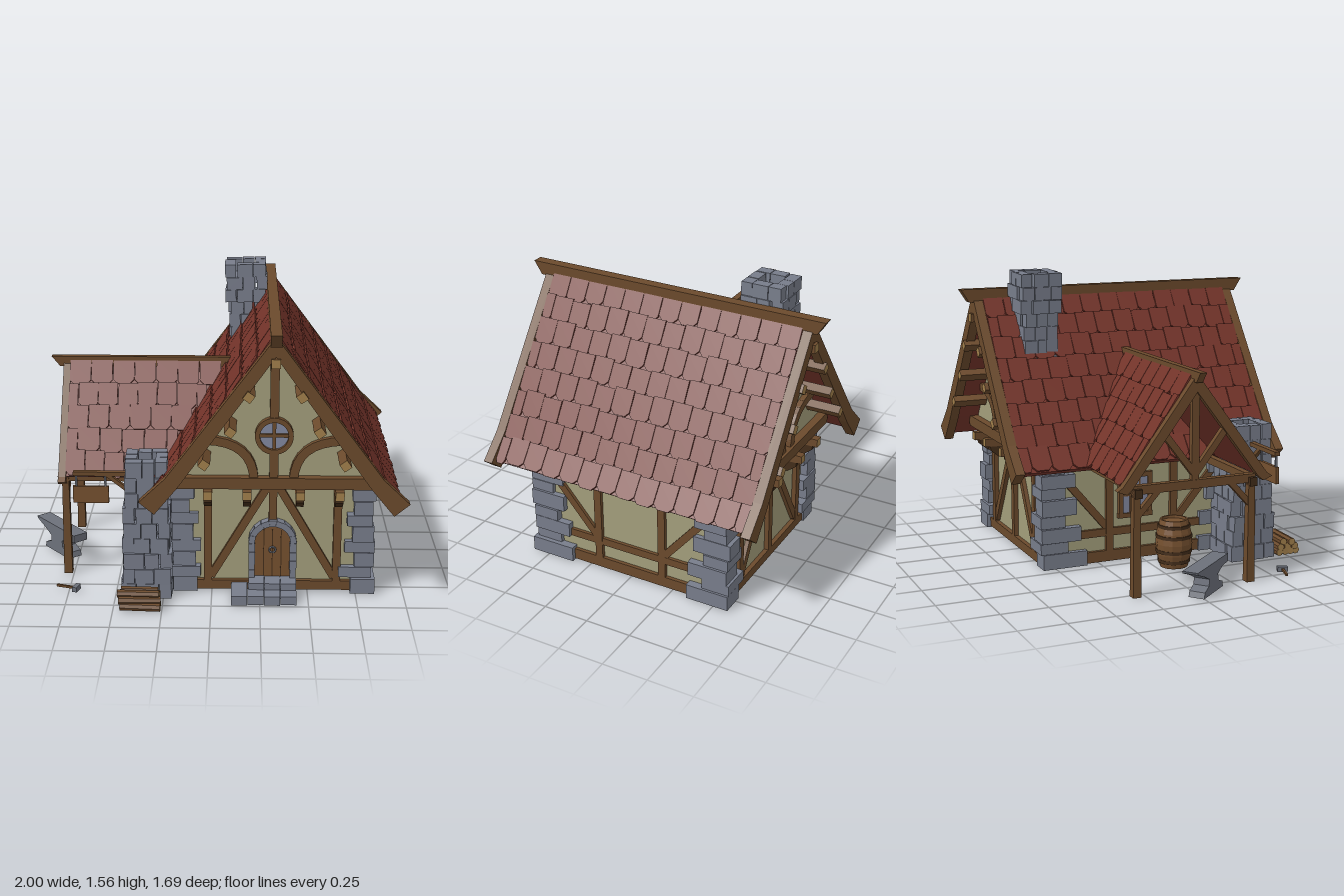
import * as THREE from 'three';
import { mergeGeometries } from 'three/addons/utils/BufferGeometryUtils.js';

const mat = (name, color, side = THREE.FrontSide) => {
  const m = new THREE.MeshStandardMaterial({ color, side });
  m.name = name;
  return m;
};
const M = {
  plaster: mat('plaster', 0xa39e7b), wood: mat('timber', 0x6b4a2c), dark: mat('dark timber', 0x432d1a),
  tan: mat('cut wood', 0xa17f4b), door: mat('door wood', 0x75502f), stone: mat('stone', 0x787d8b),
  roof: mat('roof tile', 0x74342a), iron: mat('iron', 0x6c707a), glass: mat('glass', 0x8288a0),
};
let seed = 7;
const rnd = (a, b) => { seed = (seed * 16807) % 2147483647; return a + (b - a) * seed / 2147483647; };
const flat = (g) => { const f = g.index ? g.toNonIndexed() : g; f.computeVertexNormals(); return f; };

function add(parent, name, geo, material, x = 0, y = 0, z = 0) {
  const m = new THREE.Mesh(geo, material);
  m.name = name;
  m.position.set(x, y, z);
  parent.add(m);
  return m;
}
const box = (p, name, material, w, h, d, x, y, z) => add(p, name, new THREE.BoxGeometry(w, h, d), material, x, y, z);
function group(parent, name, x = 0, y = 0, z = 0, ry = 0) {
  const g = new THREE.Group();
  g.name = name;
  g.position.set(x, y, z);
  g.rotation.y = ry;
  parent.add(g);
  return g;
}
// straight timber between two points of a wall plane
function beam(p, name, x1, y1, x2, y2, w = 0.042, d = 0.04, z = 0, material = M.wood) {
  const m = box(p, name, material, Math.hypot(x2 - x1, y2 - y1), w, d, (x1 + x2) / 2, (y1 + y2) / 2, z);
  m.rotation.z = Math.atan2(y2 - y1, x2 - x1);
  return m;
}
const poly = (pts) => new THREE.Shape(pts.map(([x, y]) => new THREE.Vector2(x, y)));
const extrude = (shape, depth, curveSegments = 8) =>
  new THREE.ExtrudeGeometry(shape, { depth, bevelEnabled: false, curveSegments }).translate(0, 0, -depth / 2);
// right half of an outline (from top centre to bottom centre) mirrored to a full one
const mirrored = (half) => poly([...half, ...half.slice().reverse().filter(([x]) => x > 0).map(([x, y]) => [-x, y])]);
const mirroredBand = (outer, inner) => poly([
  ...outer, ...inner.slice().reverse(), ...inner.slice(1).map(([x, y]) => [-x, y]),
  ...outer.slice(1).reverse().map(([x, y]) => [-x, y])]);
const cutEnd = [M.wood, M.wood, M.wood, M.wood, M.tan, M.tan];

// overlapping shingles down one slope: profile is [outward, y], span(y) gives the limits along z
function shingles(p, name, profile, rows, span, ry, x, z) {
  const curve = new THREE.CurvePath();
  const v = profile.map(([a, b]) => new THREE.Vector3(a, b, 0));
  for (let i = 1; i < v.length; i++) curve.add(new THREE.LineCurve3(v[i - 1], v[i]));
  const step = curve.getLength() / rows, width = 0.11, tiles = [];
  for (let r = 0; r < rows; r++) {
    const end = curve.getPointAt((r + 1) / rows), start = curve.getPointAt(r / rows);
    const up = start.clone().sub(end).normalize(), across = new THREE.Vector3(0, 0, -1);
    const normal = across.clone().cross(up);
    const [a, b] = span(end.y), n = Math.max(1, Math.round((b - a) / width)), w = (b - a) / n;
    for (let i = 0; i < n + (r % 2); i++) {
      const off = r % 2 ? i * w : (i + 0.5) * w;
      const lo = Math.max(-w / 2, -off), hi = Math.min(w / 2, b - a - off), L = step + 0.01, c = 0.024;
      const g = extrude(poly([[-hi + 0.0015, L], [-hi + 0.0015, c], [-hi + (hi - lo) * 0.22, 0],
        [-lo - (hi - lo) * 0.22, 0], [-lo - 0.0015, c], [-lo - 0.0015, L]].map(([q, s]) => [q, s])), 0.012);
      g.rotateX(0.06).rotateZ(rnd(-0.012, 0.012));
      const pos = end.clone().addScaledVector(normal, 0.012).addScaledVector(up, rnd(-0.012, 0.004));
      pos.z = a + off;
      g.applyMatrix4(new THREE.Matrix4().makeBasis(across, up, normal).setPosition(pos));
      tiles.push(g);
    }
  }
  add(p, name, mergeGeometries(tiles), M.roof, x, 0, z).rotation.y = ry;
}

// hollow stack of stones laid in a pinwheel
function stoneStack(p, name, x, z, y0, y1, layers, widthAt, t) {
  const g = group(p, name, x, 0, z), h = (y1 - y0) / layers;
  for (let i = 0; i < layers; i++) {
    const w = widthAt(i / (layers - 1)), ring = group(g, 'stoneRing', 0, y0 + h * (i + 0.5), 0, rnd(-0.04, 0.04));
    for (let k = 0; k < 4; k++) {
      const side = group(ring, 'stoneSide', 0, 0, 0, k * Math.PI / 2), j = rnd(0, 0.012), dir = i % 2 ? 1 : -1;
      const cut = rnd(0.4, 0.6) * (w - t), start = dir * w / 2;
      for (const [a, b] of [[0, cut], [cut, w - t]])
        box(side, 'stone', M.stone, b - a - 0.003, h * rnd(0.95, 1.04), t, start - dir * (a + b) / 2, 0, w / 2 - t / 2 + j);
    }
  }
  return g;
}

function gable(p, ry) {
  const g = group(p, 'gable', 0, 0, 0, ry), z = 0.61;
  box(g, 'tieBeam', M.wood, 1.04, 0.06, 0.07, 0, 0.63, z);
  beam(g, 'kingPost', 0, 0.97, 0, 1.34, 0.045, 0.04, z);
  beam(g, 'lowerPost', 0, 0.65, 0, 0.8, 0.045, 0.04, z);
  for (const s of [-1, 1]) {
    const pts = new THREE.QuadraticBezierCurve(new THREE.Vector2(0.1, 0.64), new THREE.Vector2(0.105, 0.85),
      new THREE.Vector2(0.35, 0.855)).getPoints(8);
    for (let i = 0; i < 8; i++)
      beam(g, 'curvedBrace', s * pts[i].x, pts[i].y, s * pts[i + 1].x, pts[i + 1].y, 0.045, 0.04, z).scale.x = 1.25;
    for (const [x, y] of [[0.13, 1.13], [0.22, 0.95], [0.35, 0.78]])
      box(g, 'purlin', cutEnd, 0.045, 0.045, 0.2, s * x, y, 0.69).rotation.z = -s * 0.95;
    for (const x of [0.135, 0.335]) {
      box(g, 'joist', cutEnd, 0.045, 0.045, 0.2, s * x, 0.575, 0.58);
      const corbel = extrude(poly([[0.5, 0.49], [0.6, 0.49], [0.65, 0.53], [0.65, 0.555], [0.5, 0.555]]), 0.04);
      add(g, 'corbel', corbel, M.dark, s * x).rotation.y = -Math.PI / 2;
    }
  }
  box(g, 'ridgePurlin', cutEnd, 0.045, 0.045, 0.2, 0, 1.3, 0.69);
  // round window
  add(g, 'roundGlass', new THREE.CircleGeometry(0.08, 20), M.glass, 0, 0.88, z + 0.005);
  const ring = new THREE.Shape().absarc(0, 0, 0.097, 0, Math.PI * 2);
  ring.holes.push(new THREE.Path().absarc(0, 0, 0.072, 0, Math.PI * 2));
  add(g, 'roundFrame', extrude(ring, 0.05, 20), M.wood, 0, 0.88, z);
  beam(g, 'muntin', 0, 0.8, 0, 0.96, 0.018, 0.03, z);
  beam(g, 'muntin', -0.08, 0.88, 0.08, 0.88, 0.018, 0.03, z);
  // barge boards
  add(g, 'bargeBoard', extrude(mirroredBand([[0, 1.43], [0.545, 0.7], [0.677, 0.575]],
    [[0, 1.33], [0.485, 0.65], [0.6, 0.51]]), 0.05), M.wood, 0, 0, 0.75);
}

function endWall(p, ry, hasDoor) {
  const g = group(p, 'endWall', 0, 0, 0.545, ry);
  if (ry) g.position.z = -0.545;
  box(g, 'sill', M.wood, 0.98, 0.05, 0.04, 0, 0.035, 0);
  beam(g, 'middlePost', 0, hasDoor ? 0.39 : 0.04, 0, 0.6);
  for (const s of [-1, 1]) {
    beam(g, 'post', s * 0.335, 0.03, s * 0.335, 0.6);
    beam(g, 'brace', s * 0.03, 0.58, s * 0.32, 0.08, 0.04, 0.035);
  }
  return g;
}
function sideWall(p, s) {
  const g = group(p, 'sideWall', s * 0.49, 0, 0, s * Math.PI / 2);
  box(g, 'sill', M.wood, 1.08, 0.06, 0.04, 0, 0.037, 0);
  box(g, 'rail', M.wood, 1.0, 0.042, 0.036, 0, 0.168, 0);
  for (const k of [-1, 1]) {
    beam(g, 'post', k * 0.19, 0.06, k * 0.19, 0.62);
    beam(g, 'brace', k * 0.2, 0.19, k * 0.47, 0.51, 0.04, 0.035);
  }
  return g;
}

export function createModel() {
  const model = new THREE.Group();
  model.name = 'smithy';
  const house = group(model, 'house', 0.315);

  // walls
  box(house, 'lowerWalls', M.plaster, 0.98, 0.6, 1.08, 0, 0.305, 0);
  add(house, 'gableWalls', extrude(mirrored([[0, 1.36], [0.49, 0.67], [0.49, 0.6]]), 1.2), M.plaster);
  const front = endWall(house, 0, true);
  endWall(house, Math.PI, false);
  sideWall(house, 1);
  const left = sideWall(house, -1);
  gable(house, 0);
  gable(house, Math.PI);

  // side window with lattice
  box(left, 'windowPane', M.glass, 0.16, 0.2, 0.03, -0.04, 0.36, 0);
  for (const k of [-1, 1]) {
    box(left, 'windowFrame', M.wood, 0.025, 0.24, 0.05, -0.04 + k * 0.085, 0.36, 0);
    box(left, 'windowFrame', M.wood, 0.2, 0.025, 0.05, -0.04, 0.36 + k * 0.11, 0);
    box(left, 'windowBar', M.wood, 0.01, 0.2, 0.036, -0.04 + k * 0.027, 0.36, 0);
  }
  box(left, 'windowBar', M.wood, 0.16, 0.01, 0.036, -0.04, 0.36, 0);

  // stone corners
  for (const sx of [-1, 1]) for (const sz of [-1, 1]) {
    const g = group(house, 'stoneCorner');
    for (let i = 0, y = 0; i < 8; i++) {
      const h = [0.085, 0.06, 0.08, 0.065, 0.09, 0.06, 0.075, 0.065][i], long = i % 2, k = 1 - i * 0.04;
      const w = (long ? 0.16 : 0.11) * k + rnd(0, 0.02), d = (long ? 0.15 : 0.23) * k + rnd(0, 0.02);
      const ox = 0.525 + rnd(-0.012, 0.012), oz = 0.58 + rnd(-0.012, 0.015);
      box(g, 'stone', M.stone, w, h - 0.003, d, sx * (ox - w / 2), y + h / 2, sz * (oz - d / 2));
      y += h;
    }
  }

  // arched door with stone surround
  const arch = new THREE.Shape().moveTo(-0.092, 0.08).lineTo(0.092, 0.08).lineTo(0.092, 0.28).absarc(0, 0.28, 0.092, 0, Math.PI);
  add(front, 'door', extrude(arch, 0.03), M.door);
  for (const x of [-0.045, 0, 0.045]) box(front, 'plankGap', M.dark, 0.005, 0.26, 0.034, x, 0.215, 0);
  add(front, 'doorRing', new THREE.TorusGeometry(0.016, 0.005, 5, 10), M.iron, 0, 0.235, 0.02);
  for (const s of [-1, 1]) for (let i = 0; i < 4; i++)
    box(front, 'jambStone', M.stone, 0.03 + rnd(0, 0.008), 0.047, 0.07, s * 0.107, 0.105 + i * 0.049, 0.005);
  for (let i = 0; i < 9; i++) {
    const a = (i + 0.5) * Math.PI / 9;
    box(front, 'archStone', M.stone, 0.032, 0.041, 0.07 + rnd(0, 0.01), Math.cos(a) * 0.108, 0.28 + Math.sin(a) * 0.108, 0.005)
      .rotation.z = a;
  }
  // doorstep
  for (let i = 0; i < 4; i++) {
    box(house, 'lowerStep', M.stone, 0.082, 0.045 + rnd(0, 0.006), 0.19 + rnd(-0.01, 0.01), -0.172 + i * 0.085, 0.023, 0.64);
    if (i < 3) box(house, 'upperStep', M.stone, 0.081, 0.04 + rnd(0, 0.004), 0.11, -0.083 + i * 0.083, 0.062, 0.6);
  }

  // main roof
  const outer = [[0, 1.4], [0.53, 0.675], [0.63, 0.565]];
  add(house, 'roofDeck', extrude(mirroredBand(outer, [[0, 1.35], [0.5, 0.66], [0.605, 0.545]]), 1.46), M.roof);
  for (const ry of [0, Math.PI]) shingles(house, 'roofTiles', outer, 8, () => [-0.725, 0.725], ry, 0, 0);
  // ridge: side outline with slanted ends
  const ridge = (half, y0, y1, w) => extrude(poly([[-half + 0.045, y0], [half - 0.045, y0], [half, y1], [-half, y1]]), w);
  add(house, 'ridgeBeam', ridge(0.845, 1.385, 1.455, 0.056), M.wood).rotation.y = Math.PI / 2;

  // roof chimney
  const chimney = stoneStack(model, 'chimney', 0.215, -0.465, 0.98, 1.55, 8, (t) => (t > 0.62 ? 0.22 : 0.185), 0.06);
  chimney.rotation.z = 0.03;

  // side shelter
  const wing = group(model, 'shelter', 0, 0, 0.02);
  const slope = [[0, 1.085], [0.38, 0.57]], roofX = (y) => 0.315 - (1.4 - y) * 0.731 + 0.03;
  const deck = extrude(mirroredBand(slope, [[0, 1.045], [0.36, 0.56]]), 0.84);
  add(wing, 'shelterDeck', deck, M.roof, -0.36).rotation.y = Math.PI / 2;
  shingles(wing, 'shelterTiles', slope, 5, (y) => [-roofX(y), 0.775], -Math.PI / 2, 0, 0);
  shingles(wing, 'shelterTiles', slope, 5, (y) => [-0.775, roofX(y)], Math.PI / 2, 0, 0);
  add(wing, 'shelterRidge', ridge(0.49, 1.07, 1.125, 0.036), M.wood, -0.385, 0, 0);
  const end = group(wing, 'shelterGable', -0.79, 0, 0, -Math.PI / 2);
  add(end, 'bargeBoard', extrude(mirroredBand([[0, 1.11], [0.4, 0.575], [0.43, 0.555]], [[0, 1.02], [0.35, 0.56], [0.38, 0.535]]), 0.04), M.wood);
  beam(end, 'tieBeam', -0.34, 0.55, 0.34, 0.55, 0.045, 0.036, -0.01);
  beam(end, 'kingPost', 0, 0.55, 0, 1.05, 0.04, 0.03, -0.01);
  for (const s of [-1, 1]) {
    beam(end, 'strut', 0, 0.6, s * 0.17, 0.82, 0.035, 0.03, -0.01);
    beam(end, 'kneeBrace', s * 0.31, 0.42, s * 0.2, 0.54, 0.03, 0.03, -0.01);
    const post = flat(new THREE.CylinderGeometry(0.025, 0.032, 0.55, 4).rotateY(Math.PI / 4));
    add(end, 'post', post, M.wood, s * 0.32, 0.275, -0.01);
    box(wing, 'wallPlate', M.wood, 0.62, 0.04, 0.036, -0.48, 0.55, s * 0.32);
    box(wing, 'plateEnd', M.dark, 0.05, 0.045, 0.04, -0.795, 0.535, s * 0.32);
  }

  // forge stack, sign arm and hanging sign
  stoneStack(model, 'forgeStack', -0.335, 0.54, 0, 0.74, 9, (t) => 0.255 - 0.045 * t, 0.06);
  const sign = group(model, 'sign', 0, 0, 0.535);
  box(sign, 'signArm', M.wood, 0.28, 0.022, 0.03, -0.575, 0.64, 0);
  beam(sign, 'armBrace', -0.54, 0.635, -0.44, 0.555, 0.02, 0.024);
  box(sign, 'signBoard', M.door, 0.185, 0.09, 0.018, -0.625, 0.525, 0);
  for (const x of [-0.7, -0.55]) box(sign, 'signChain', M.iron, 0.01, 0.065, 0.01, x, 0.6, 0);

  // barrel
  const barrel = group(model, 'barrel', -0.385, 0, 0.1);
  const stave = [[0, 0], [0.075, 0], [0.093, 0.07], [0.099, 0.13], [0.093, 0.19], [0.075, 0.26], [0.066, 0.26], [0.066, 0.245], [0, 0.245]];
  add(barrel, 'staves', flat(new THREE.LatheGeometry(stave.map(([x, y]) => new THREE.Vector2(x, y)), 12)), M.door);
  for (const [y, r] of [[0.035, 0.088], [0.09, 0.099], [0.17, 0.099], [0.225, 0.088]])
    add(barrel, 'hoop', flat(new THREE.CylinderGeometry(r, r, 0.018, 12)), M.dark, 0, y, 0);

  // log pile
  for (const [row, zs] of [[0, [0.7, 0.74, 0.78, 0.815]], [1, [0.715, 0.758, 0.797]], [2, [0.735, 0.778]]])
    for (const z of zs) {
      const log = flat(new THREE.CylinderGeometry(0.021, 0.021, rnd(0.19, 0.215), 7).rotateZ(Math.PI / 2));
      add(model, 'log', log, [M.wood, M.tan, M.tan], -0.365 + rnd(-0.008, 0.008), 0.021 + row * 0.027, z).rotation.y = rnd(-0.06, 0.06);
    }

  // anvil
  const anvil = poly([[-0.12, 0], [0.12, 0], [0.11, 0.03], [0.06, 0.05], [0.055, 0.085], [0.11, 0.11], [0.18, 0.115], [0.18, 0.157],
    [-0.2, 0.157], [-0.195, 0.145], [-0.11, 0.112], [-0.055, 0.085], [-0.06, 0.05], [-0.11, 0.03]]);
  add(model, 'anvil', extrude(anvil, 0.085), M.iron, -0.845, 0, 0.06).rotation.y = -0.88;

  // hammer on the ground
  const hammer = group(model, 'hammer', -0.76, 0.014, 0.565, -0.3);
  box(hammer, 'hammerHandle', M.wood, 0.12, 0.012, 0.012, 0, 0, 0);
  box(hammer, 'hammerHead', M.iron, 0.026, 0.026, 0.055, 0.05, 0, 0);
  return model;
}
